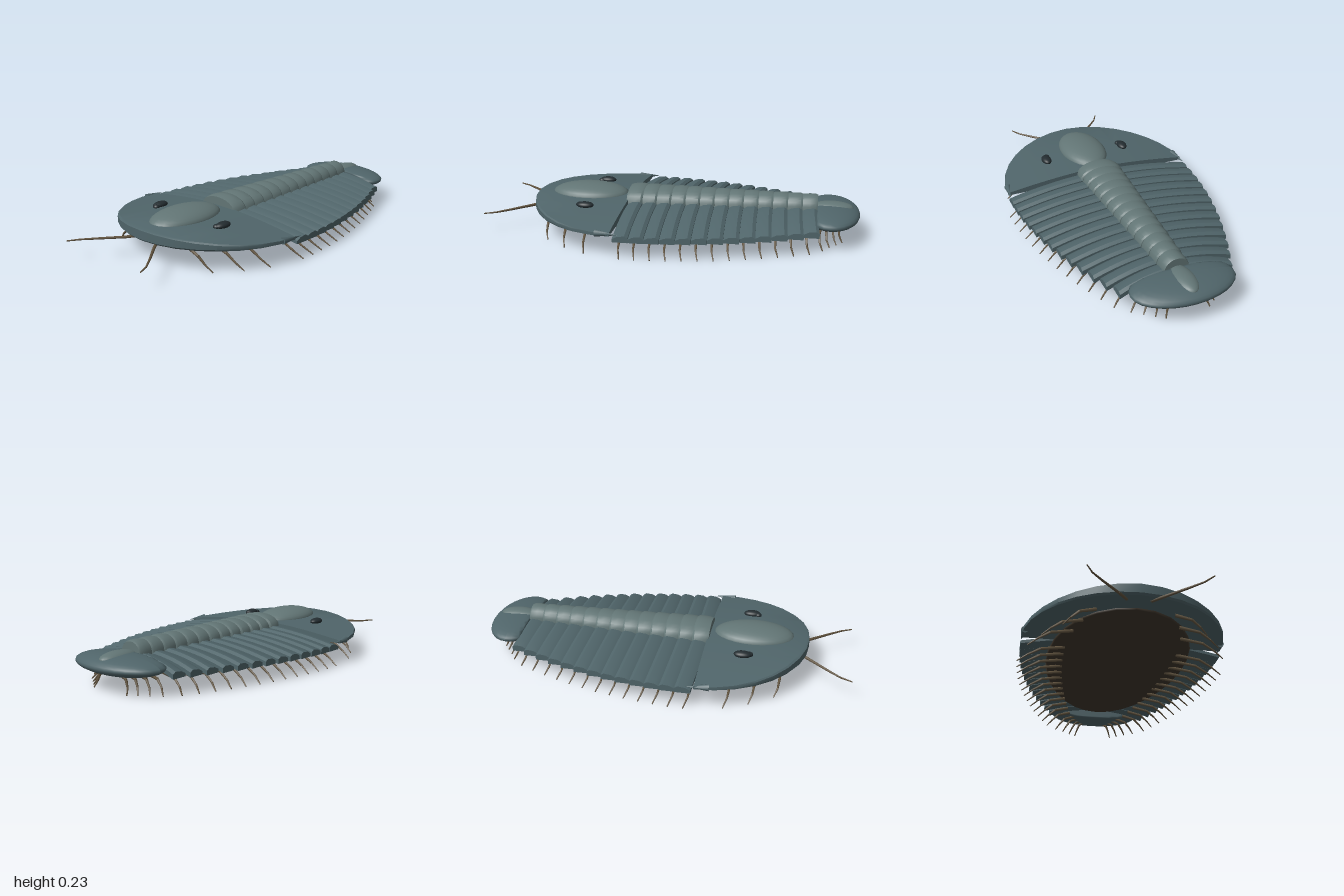
import * as THREE from 'three';
import { toCreasedNormals } from 'three/addons/utils/BufferGeometryUtils.js';

const V = (x, y, z) => new THREE.Vector3(x, y, z);
const paint = (color, side = THREE.FrontSide) => new THREE.MeshStandardMaterial({ color, side });
const shellMat = paint(0x50656a, THREE.DoubleSide);
const axisMat = paint(0x627575, THREE.DoubleSide);
const eyeMat = paint(0x232c30);
const legMat = paint(0x62543f);
const bellyMat = paint(0x40372c);

// Closed solid through a row of equal-length loops of points
function loft(sections) {
  const n = sections[0].length, m = sections.length, index = [];
  for (let i = 0; i < m - 1; i++) {
    for (let j = 0; j < n; j++) {
      const k = (j + 1) % n;
      const a = i * n + j, b = a + n, c = (i + 1) * n + k, d = i * n + k;
      index.push(a, b, c, a, c, d);
    }
  }
  const e = (m - 1) * n;
  for (let j = 1; j < n - 1; j++) index.push(0, j, j + 1, e, e + j + 1, e + j);
  const g = new THREE.BufferGeometry().setFromPoints(sections.flat());
  g.setIndex(index);
  return toCreasedNormals(g, 0.5);
}

function add(parent, name, geometry, material, position) {
  const mesh = new THREE.Mesh(geometry, material);
  mesh.name = name;
  if (position) mesh.position.copy(position);
  parent.add(mesh);
  return mesh;
}

const ellipsoid = (rx, ry, rz) => new THREE.SphereGeometry(1, 28, 16).scale(rx, ry, rz);

// Jointed, tapering limb along a few points
function limb(parent, name, points, r0, r1) {
  const group = new THREE.Group();
  group.name = name;
  const last = points.length - 1;
  for (let i = 0; i < last; i++) {
    const dir = points[i + 1].clone().sub(points[i]);
    const ra = r0 + (r1 - r0) * i / last, rb = r0 + (r1 - r0) * (i + 1) / last;
    const mid = points[i].clone().addScaledVector(dir, 0.5);
    const part = add(group, name + 'Segment', new THREE.CylinderGeometry(rb, ra, dir.length(), 6), legMat, mid);
    part.quaternion.setFromUnitVectors(V(0, 1, 0), dir.normalize());
  }
  parent.add(group);
}

const SEGMENTS = 13, FRONT = 0.235, PITCH = 0.0777;
const segmentZ = i => FRONT - PITCH * (i + 0.5);
const halfWidth = z => 0.53 - 0.24 * Math.pow(Math.max(0, (0.2 - z) / 0.95), 1.9);

// Half-elliptical head shield, arched across x
function headGeometry() {
  const sections = [];
  for (let i = 0; i <= 16; i++) {
    const t = -Math.PI / 2 + Math.PI * i / 16;
    const x = 0.53 * Math.sin(t), depth = 0.535 * Math.cos(t);
    const top = 0.175 - 0.047 * Math.pow(Math.abs(x / 0.53), 1.7);
    sections.push([
      V(x, 0.113, FRONT + depth * 0.98), V(x, 0.122, FRONT + depth), V(x, top - 0.006, FRONT + depth),
      V(x, top, FRONT + depth * 0.975), V(x, top, FRONT + depth * 0.5), V(x, top, FRONT), V(x, 0.113, FRONT)
    ]);
  }
  return loft(sections);
}

// One overlapping rib plate, arched across x with tips swept back
function ribGeometry(z, w) {
  const profile = [[0.042, -0.02], [0.042, -0.004], [0.015, 0.01], [-0.022, 0.014], [-0.039, 0.004], [-0.039, -0.02]];
  const sections = [];
  for (let i = 0; i <= 16; i++) {
    const s = i / 8 - 1;
    sections.push(profile.map(([dz, dy]) => V(s * w, 0.155 - 0.05 * s * s + dy, z + dz - 0.018 * s * s)));
  }
  return loft(sections);
}

// One bulging ring of the raised middle lobe
function ringGeometry(z, r) {
  const profile = [[0.048, 0.92], [0.03, 0.97], [0, 1], [-0.03, 0.99], [-0.04, 0.93]];
  return loft(profile.map(([dz, k]) => {
    const arch = [];
    for (let j = 0; j <= 12; j++) {
      const a = Math.PI * j / 12;
      arch.push(V(r * k * Math.cos(a), 0.145 + 0.08 * k * Math.pow(Math.sin(a), 0.8), z + dz));
    }
    return arch;
  }));
}

export function createModel() {
  const model = new THREE.Group();
  model.name = 'armouredSeaCreature';

  // Head
  const head = new THREE.Group();
  head.name = 'head';
  model.add(head);
  add(head, 'headShield', headGeometry(), shellMat);
  add(head, 'headDome', ellipsoid(0.13, 0.058, 0.215), axisMat, V(0, 0.166, 0.475));
  for (const s of [-1, 1]) {
    add(head, 'eye', ellipsoid(0.027, 0.018, 0.046), eyeMat, V(s * 0.238, 0.17, 0.44));
    add(head, 'eyeLobe', ellipsoid(0.018, 0.014, 0.018), eyeMat, V(s * 0.228, 0.167, 0.475));
    const spine = add(head, 'cheekSpine', new THREE.ConeGeometry(0.019, 0.12, 8), shellMat, V(s * 0.521, 0.122, 0.25));
    spine.rotation.set(-Math.PI / 2, 0, -s * 0.12);
    limb(head, 'antenna', [
      V(s * 0.06, 0.115, 0.71), V(s * 0.11, 0.108, 0.775), V(s * 0.2, 0.104, 0.875),
      V(s * 0.255, 0.102, 0.94), V(s * 0.286, 0.102, 0.998)
    ], 0.009, 0.003);
  }

  // Body segments
  const body = new THREE.Group();
  body.name = 'body';
  model.add(body);
  const legs = [[0.63, 0.35], [0.51, 0.44], [0.39, 0.5]];
  for (let i = 0; i < SEGMENTS; i++) {
    const z = segmentZ(i), w = halfWidth(z);
    add(body, 'ribPlate', ribGeometry(z, w), shellMat);
    add(body, 'axisRing', ringGeometry(z, 0.13 - 0.06 * i / (SEGMENTS - 1)), axisMat);
    legs.push([z, w + 0.013]);
  }

  // Tail shield, cut straight where it meets the body
  const tail = ellipsoid(0.27, 0.05, 0.155);
  const p = tail.attributes.position;
  for (let i = 0; i < p.count; i++) p.setZ(i, Math.min(p.getZ(i), 0.07));
  tail.computeVertexNormals();
  add(model, 'tailShield', tail, shellMat, V(0, 0.128, -0.845));
  add(model, 'tailAxis', ellipsoid(0.056, 0.032, 0.11), axisMat, V(0, 0.158, -0.855));

  // Belly
  const belly = ellipsoid(0.38, 0.025, 0.69);
  const b = belly.attributes.position;
  for (let i = 0; i < b.count; i++) b.setX(i, b.getX(i) * (1 + 0.18 * b.getZ(i)));
  belly.computeVertexNormals();
  add(model, 'belly', belly, bellyMat, V(0, 0.106, -0.04));

  // Walking legs in mirrored pairs
  legs.push([-0.8, 0.25], [-0.835, 0.2], [-0.87, 0.155], [-0.9, 0.115]);
  for (const [z, foot] of legs) {
    for (const s of [-1, 1]) {
      limb(model, 'leg', [
        V(s * foot * 0.55, 0.092, z), V(s * foot * 0.78, 0.07, z + 0.009),
        V(s * foot * 0.9, 0.035, z + 0.004), V(s * foot, 0.002, z - 0.012)
      ], 0.009, 0.003);
    }
  }
  return model;
}
